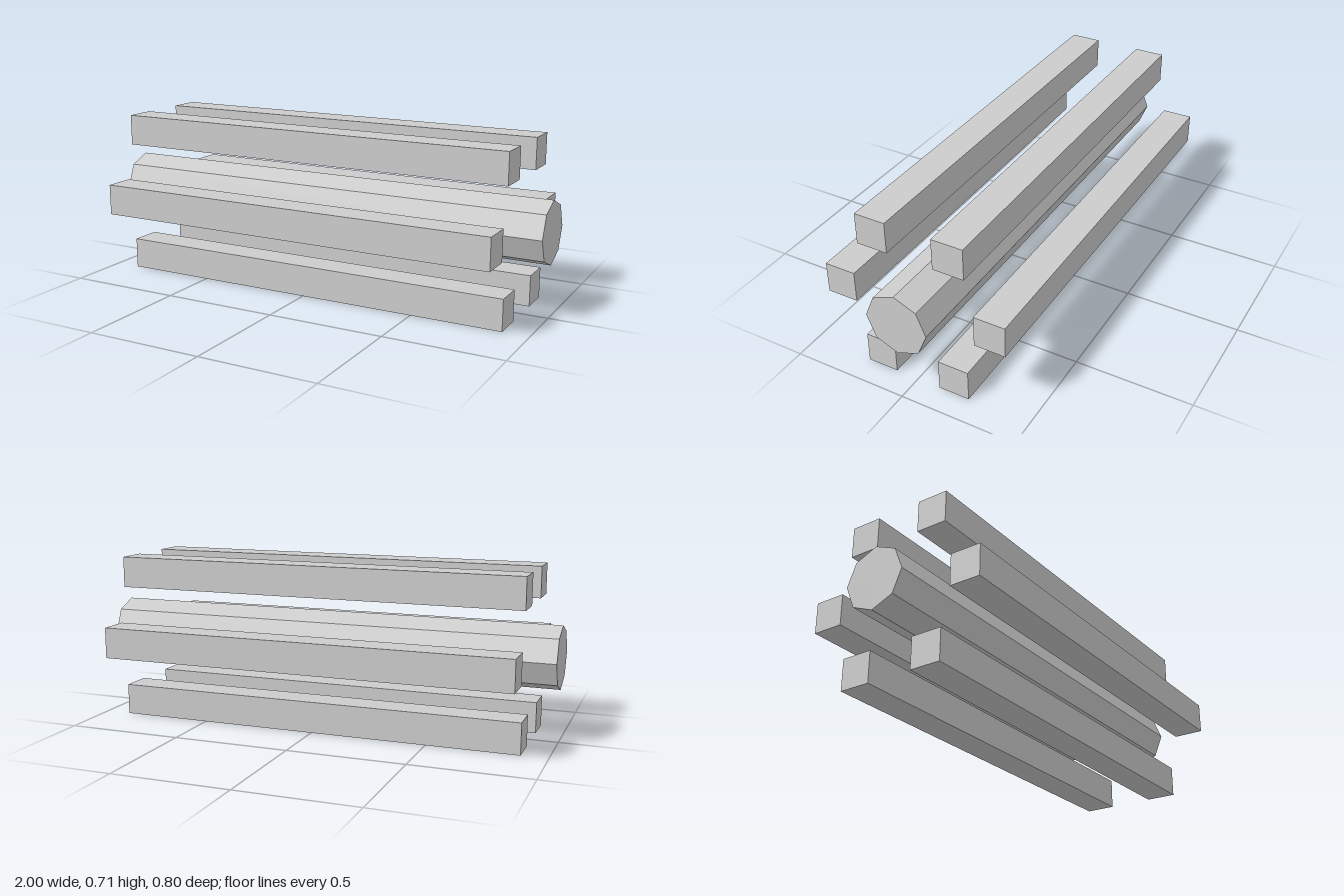
import * as THREE from 'three';

export function createModel() {
  const group = new THREE.Group();
  const grey = new THREE.MeshStandardMaterial({ color: 0xcccccc, flatShading: true });
  grey.name = 'lightGrey';

  const size = 0.1333;
  const ringRadius = 0.3333;
  const centreY = ringRadius * Math.sin(Math.PI / 3) + size / 2;

  // Octagonal shaft along x
  const shaft = new THREE.Mesh(new THREE.CylinderGeometry(size, size, 2, 8), grey);
  shaft.name = 'centralShaft';
  shaft.rotation.z = Math.PI / 2;
  shaft.position.y = centreY;
  group.add(shaft);

  // Six upright square bars spaced evenly around the shaft
  const barGeometry = new THREE.BoxGeometry(1.778, size, size);
  for (let i = 0; i < 6; i++) {
    const angle = (i * Math.PI) / 3;
    const bar = new THREE.Mesh(barGeometry, grey);
    bar.name = `outerBar${i + 1}`;
    bar.position.set(0, centreY + ringRadius * Math.sin(angle), ringRadius * Math.cos(angle));
    group.add(bar);
  }
  return group;
}
